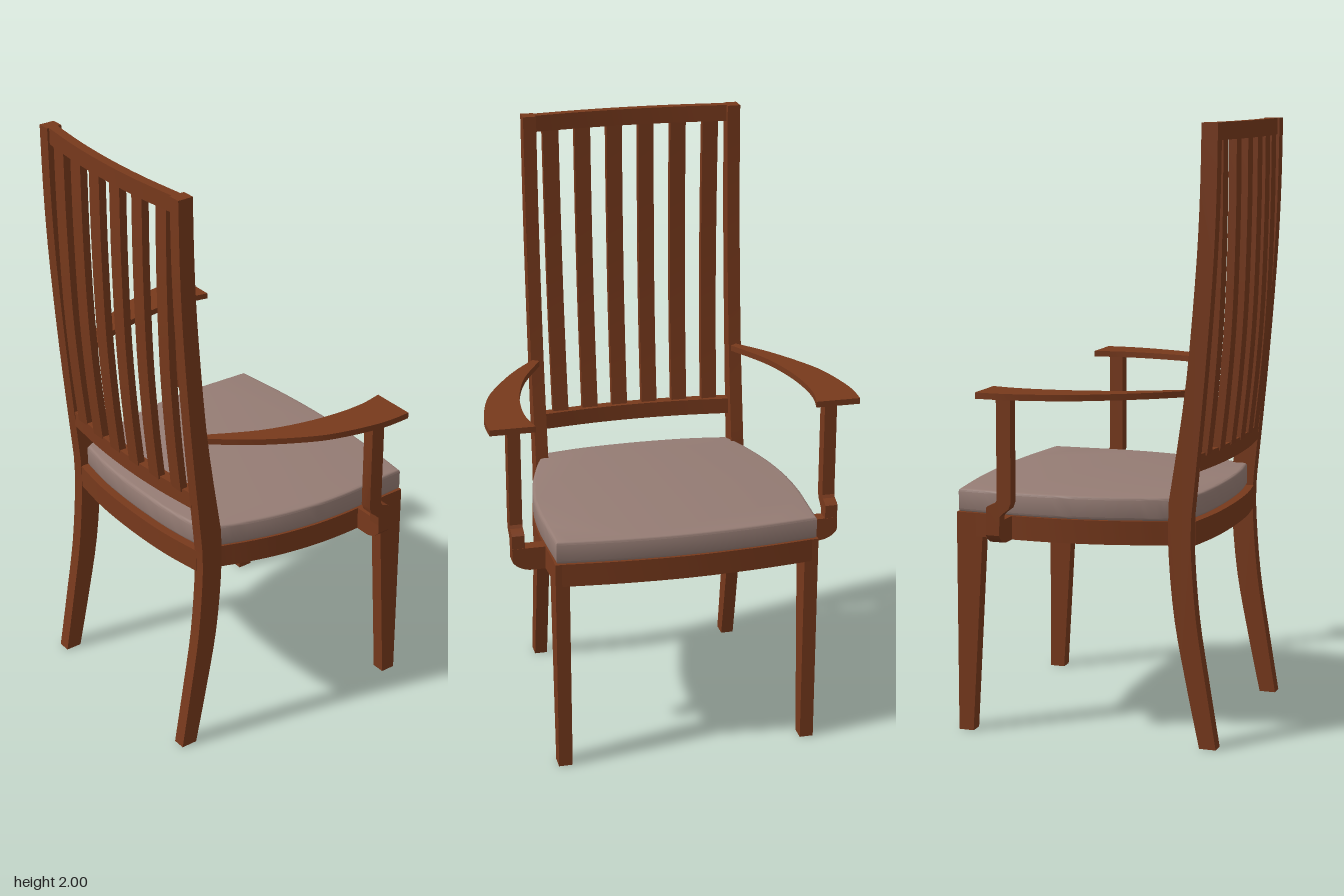
import * as THREE from 'three';
import { toCreasedNormals } from 'three/addons/utils/BufferGeometryUtils.js';

const V = (x, y) => new THREE.Vector2(x, y);

// Smooth line through a few points
const curve = (pts, n = 14) => new THREE.SplineCurve(pts.map(p => V(...p))).getPoints(n);

// Closed band between two edge lines
const band = (a, b) => new THREE.Shape([...a, ...b.slice().reverse()]);

// Extrude a [z, y] side profile to a given width, centred on x
function fromSide(shape, width, x) {
  const g = new THREE.ExtrudeGeometry(shape, { depth: width, bevelEnabled: false });
  g.rotateY(-Math.PI / 2).translate(x + width / 2, 0, 0);
  return toCreasedNormals(g, 0.5);
}

// Extrude an [x, z] plan between two heights, with an optional rounded edge
function fromPlan(shape, y0, y1, bevel = 0) {
  const g = new THREE.ExtrudeGeometry(shape, {
    depth: y1 - y0 - 2 * bevel, bevelEnabled: bevel > 0,
    bevelSize: bevel, bevelThickness: bevel, bevelSegments: 3,
  });
  g.rotateX(Math.PI / 2).translate(0, y1 - bevel, 0);
  return toCreasedNormals(g, 0.6);
}

// Bow-fronted seat plan, inset by d, with a chosen rear bow
function seatPlan(d, backEnd, backMid) {
  const side = curve([[0.335, backEnd], [0.362, 0.27], [0.39, 0.19], [0.42, 0.08], [0.441, -0.05],
    [0.447, -0.17], [0.444, -0.27], [0.437, -0.425]].map(([x, z]) => [x - d, Math.max(z, -0.425 + d)]), 24);
  const front = curve([[0.437 - d, -0.425 + d], [0.22, -0.447 + d], [0, -0.456 + d],
    [-0.22, -0.447 + d], [-0.437 + d, -0.425 + d]], 16);
  const other = side.map(p => V(-p.x, p.y)).reverse();
  const rear = curve([[-0.335 + d, backEnd], [-0.18, backMid - 0.007], [0, backMid],
    [0.18, backMid - 0.007], [0.335 - d, backEnd]], 16);
  return [...side, ...front.slice(1), ...other.slice(1), ...rear.slice(1, -1)];
}

const CX = -0.006; // middle of the back

export function createModel() {
  const wood = new THREE.MeshStandardMaterial({ color: 0x77391c });
  wood.name = 'reddish wood';
  const fabric = new THREE.MeshStandardMaterial({ color: 0x957c74 });
  fabric.name = 'seat fabric';
  const lining = new THREE.MeshStandardMaterial({ color: 0xc4b79b });
  lining.name = 'underside lining';

  const chair = new THREE.Group();
  chair.name = 'armchair';
  chair.rotation.y = -0.007; // stands very slightly turned
  const add = (name, geometry, material = wood) => {
    const m = new THREE.Mesh(geometry, material);
    m.name = name;
    chair.add(m);
  };

  // Curved rear legs that run up into the back posts
  const postFront = [...curve([[0.388, 0], [0.345, 0.2], [0.303, 0.42], [0.282, 0.64], [0.282, 0.8]]),
    ...curve([[0.282, 0.8], [0.334, 1.15], [0.366, 1.5], [0.38, 1.75], [0.385, 2]]).slice(1)];
  const postBack = [...curve([[0.444, 0], [0.41, 0.2], [0.375, 0.42], [0.357, 0.64], [0.358, 0.76]]),
    ...curve([[0.358, 0.76], [0.395, 1.15], [0.422, 1.5], [0.434, 1.75], [0.438, 2]]).slice(1)];
  for (const s of [-1, 1])
    add(s > 0 ? 'leftBackPost' : 'rightBackPost', fromSide(band(postFront, postBack), 0.044, CX - 0.001 + s * 0.353));

  // Bowed rails of the back
  const bowRail = (endZ, midZ, thick, y0, y1) => {
    const arc = t => curve([-1, -0.5, 0, 0.5, 1].map(u =>
      [CX + u * 0.336, endZ + t + (midZ - endZ) * (1 - u * u)]), 20);
    return fromPlan(band(arc(0), arc(thick)), y0, y1);
  };
  add('topRail', bowRail(0.398, 0.42, 0.032, 1.945, 2));
  add('lowerRail', bowRail(0.335, 0.36, 0.038, 0.9, 0.955));

  // Six curved slats, spreading slightly toward the top
  const slatBack = [[0.4, 0.945], [0.422, 1.15], [0.44, 1.4], [0.449, 1.7], [0.45, 1.955]];
  for (let i = 0; i < 6; i++) {
    const x = (i - 2.5) * 0.111;
    const bow = -0.024 * (x / 0.336) ** 2;
    const g = fromSide(band(curve(slatBack.map(([z, y]) => [z + bow - 0.026, y])),
      curve(slatBack.map(([z, y]) => [z + bow, y]))), 0.054, 0);
    const p = g.attributes.position;
    for (let k = 0; k < p.count; k++)
      p.setX(k, p.getX(k) + CX + x * (0.965 + 0.035 * (p.getY(k) - 0.95)));
    add('backSlat', g);
  }

  // Seat frame, lining and cushion; the hole runs the opposite way round
  const frame = new THREE.Shape(seatPlan(0, 0.357, 0.386));
  frame.holes.push(new THREE.Path(seatPlan(0.056, 0.31, 0.338).reverse()));
  add('seatFrame', fromPlan(frame, 0.657, 0.735));
  add('seatLining', fromPlan(new THREE.Shape(seatPlan(0.04, 0.32, 0.35)), 0.728, 0.734), lining);
  add('seatCushion', fromPlan(new THREE.Shape(seatPlan(0.012, 0.325, 0.353)), 0.735, 0.812, 0.01), fabric);

  // Tapered front legs
  const legShape = new THREE.Shape([V(-0.427, 0), V(-0.376, 0), V(-0.337, 0.66), V(-0.337, 0.735), V(-0.427, 0.735)]);

  // Flat curved arm plan: broad at the front, narrow where it meets the post
  const armOuter = [[0.617, -0.282], [0.616, -0.17], [0.58, -0.01], [0.53, 0.1], [0.45, 0.23], [0.364, 0.335]];
  const armInner = [[0.467, -0.282], [0.482, -0.2], [0.482, -0.1], [0.463, 0.03], [0.42, 0.17], [0.342, 0.32]];

  // Arm support upright with a jog above its foot
  const uprightA = [V(-0.275, 0.72), V(-0.275, 0.78), V(-0.268, 0.786), V(-0.245, 0.795), V(-0.238, 0.805), V(-0.238, 1.145)];
  const uprightB = [V(-0.23, 0.72), V(-0.228, 0.752), V(-0.215, 0.765), V(-0.198, 0.778), V(-0.19, 0.8), V(-0.19, 1.145)];

  for (const s of [-1, 1]) {
    const side = s > 0 ? 'left' : 'right';
    add(side + 'FrontLeg', fromSide(legShape, 0.046, s * 0.417));

    const flip = pts => curve(pts.map(([x, z]) => [s * x, z]), 20);
    add(side + 'Arm', fromPlan(band(flip(armOuter), flip(armInner)), 1.14, 1.16));

    add(side + 'ArmUpright', fromSide(band(uprightA, uprightB), 0.042, s * 0.532));

    // Foot reaching out from the seat frame, rounded underneath
    const foot = new THREE.Shape();
    foot.moveTo(s * 0.42, 0.657);
    foot.lineTo(s * 0.495, 0.657);
    foot.quadraticCurveTo(s * 0.535, 0.662, s * 0.553, 0.69);
    foot.lineTo(s * 0.553, 0.735);
    foot.lineTo(s * 0.42, 0.735);
    const g = new THREE.ExtrudeGeometry(foot, { depth: 0.045, bevelEnabled: false });
    g.translate(0, 0, -0.276);
    add(side + 'ArmFoot', toCreasedNormals(g, 0.5));
  }
  return chair;
}
